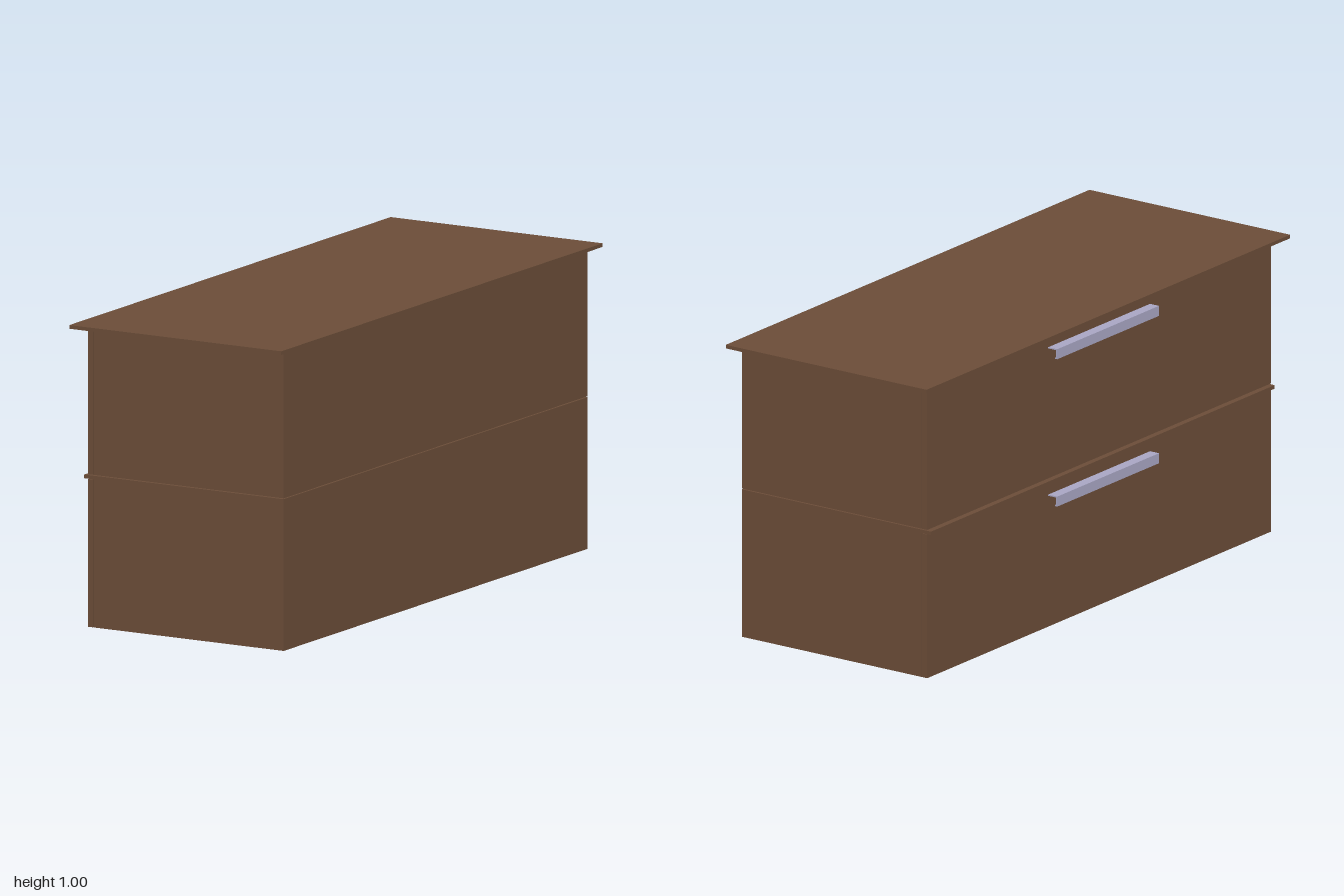
import * as THREE from 'three';

const wood = new THREE.MeshStandardMaterial({ color: 0x6b4d38 });
const metal = new THREE.MeshStandardMaterial({ color: 0xa9a6c4 });

// Box given by its x and y limits, centred on z
function slab(name, x0, x1, y0, y1, depth, material) {
  const mesh = new THREE.Mesh(new THREE.BoxGeometry(x1 - x0, y1 - y0, depth), material);
  mesh.position.set((x0 + x1) / 2, (y0 + y1) / 2, 0);
  mesh.name = name;
  return mesh;
}

// Bent strip pull: hooked profile run along z
function handle(name, top) {
  const length = 0.56;
  const profile = [
    [-0.363, 0], [-0.399, 0], [-0.399, -0.034], [-0.39, -0.034],
    [-0.39, -0.03], [-0.395, -0.03], [-0.395, -0.004], [-0.363, -0.004],
  ].map(([x, y]) => new THREE.Vector2(x, y));
  const geometry = new THREE.ExtrudeGeometry(new THREE.Shape(profile), { depth: length, bevelEnabled: false });
  const mesh = new THREE.Mesh(geometry, metal);
  mesh.position.set(0, top, -length / 2);
  mesh.name = name;
  return mesh;
}

export function createModel() {
  const cabinet = new THREE.Group();
  cabinet.name = 'drawerCabinet';
  const depth = 1.89;

  // Overhanging top and the ledge between the drawers
  cabinet.add(slab('topBoard', -0.4, 0.4, 0.988, 1, 2, wood));
  cabinet.add(slab('middleLedge', -0.378, -0.34, 0.488, 0.5, depth, wood));

  // Two stacked drawer units, fronts facing -x with a thin shadow gap
  const units = [['lower', 0, 0.5, 0.487], ['upper', 0.503, 0.988, 0.987]];
  for (const [level, bottom, top, frontTop] of units) {
    cabinet.add(slab(level + 'Carcass', -0.34, 0.376, bottom, top, depth, wood));
    cabinet.add(slab(level + 'DrawerFront', -0.363, -0.343, bottom, frontTop, depth, wood));
    cabinet.add(handle(level + 'Handle', frontTop - 0.039));
  }
  return cabinet;
}
